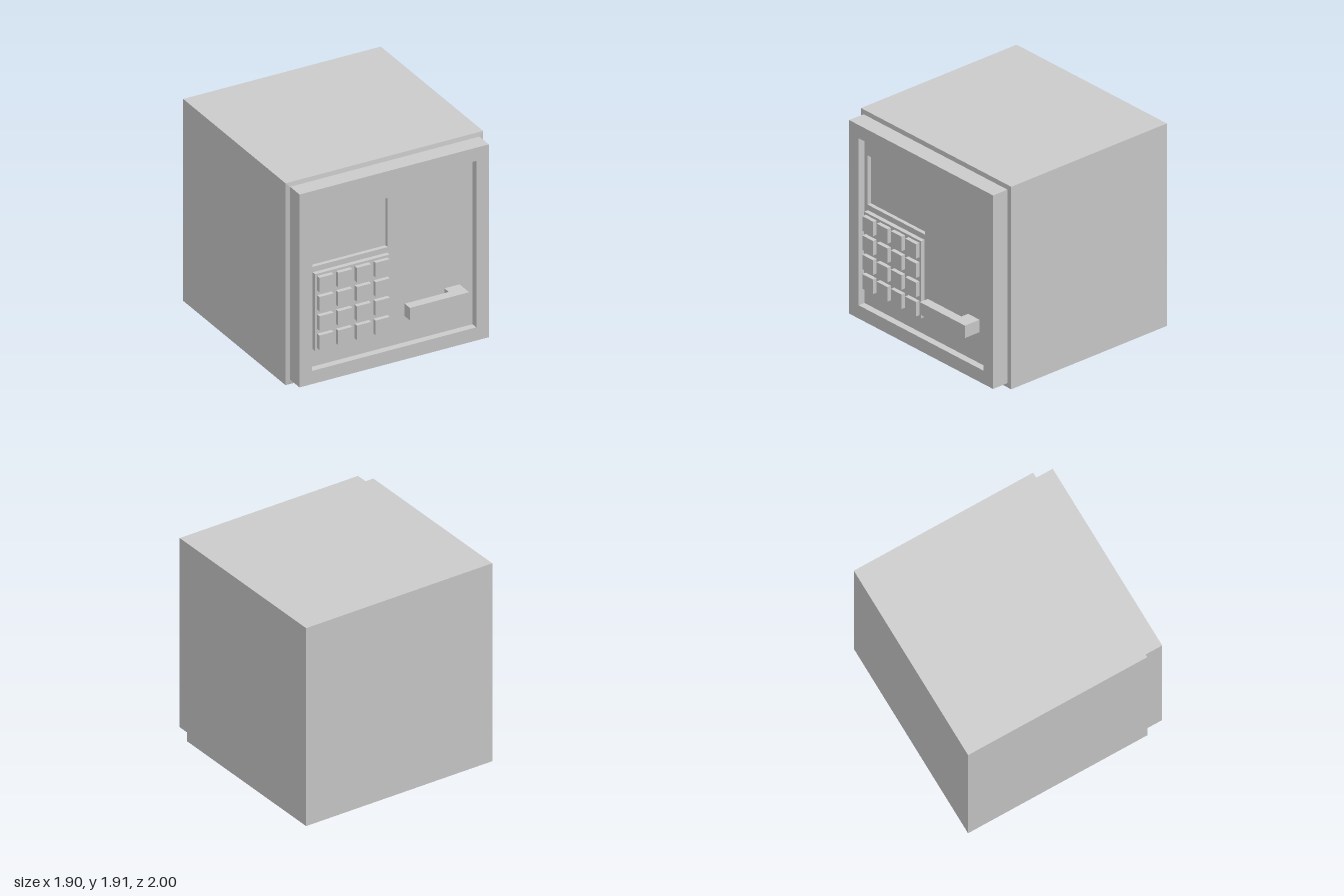
import * as THREE from 'three';

const material = new THREE.MeshStandardMaterial({ color: 0xcccccc, flatShading: true });

function add(parent, name, geometry) {
  const mesh = new THREE.Mesh(geometry, material);
  mesh.name = name;
  parent.add(mesh);
  return mesh;
}

// Box given by its minimum and maximum on each axis
function block(parent, name, x0, x1, y0, y1, z0, z1) {
  const mesh = add(parent, name, new THREE.BoxGeometry(x1 - x0, y1 - y0, z1 - z0));
  mesh.position.set((x0 + x1) / 2, (y0 + y1) / 2, (z0 + z1) / 2);
  return mesh;
}

function trace(path, x0, x1, y0, y1) {
  path.moveTo(x0, y0).lineTo(x1, y0).lineTo(x1, y1).lineTo(x0, y1).closePath();
  return path;
}

// Rectangular plate with a rectangular opening, outer and inner as [x0, x1, y0, y1]
function plate(parent, name, outer, inner, z0, z1) {
  const shape = trace(new THREE.Shape(), ...outer);
  shape.holes.push(trace(new THREE.Path(), ...inner));
  const geometry = new THREE.ExtrudeGeometry(shape, { depth: z1 - z0, bevelEnabled: false });
  add(parent, name, geometry).position.z = z0;
}

export function createModel() {
  const safe = new THREE.Group();
  safe.name = 'safe';

  // Cabinet, with a slightly sloped front rim around the door
  block(safe, 'cabinet', -0.95, 0.95, 0, 1.91, -1, 0.735);
  const rim = block(safe, 'cabinetRim', -0.95, 0.95, 0, 1.91, 0.735, 0.742);
  const p = rim.geometry.attributes.position;
  for (let i = 0; i < p.count; i++) {
    if (p.getZ(i) > 0) p.setXY(i, p.getX(i) * 0.958, p.getY(i) * 0.956);
  }
  rim.geometry.computeVertexNormals();

  // Door: raised frame, recessed panel with a display window
  const door = new THREE.Group();
  door.name = 'door';
  safe.add(door);
  const recess = [-0.79, 0.79, 0.17, 1.745];
  const display = [-0.75, -0.025, 1.113, 1.577];
  plate(door, 'doorFrame', [-0.91, 0.91, 0.045, 1.87], recess, 0.735, 0.902);
  plate(door, 'doorPanel', recess, display, 0.74, 0.837);
  block(door, 'displayScreen', ...display, 0.74, 0.8);

  // Keypad with a four by four grid of keys
  const keypad = new THREE.Group();
  keypad.name = 'keypad';
  door.add(keypad);
  block(keypad, 'keypadBase', -0.747, -0.03, 0.335, 1.062, 0.83, 0.878);
  for (let row = 0; row < 4; row++) {
    for (let col = 0; col < 4; col++) {
      const x = -0.727 + col * 0.18;
      const y = 0.358 + row * 0.182;
      block(keypad, 'key', x, x + 0.137, y, y + 0.137, 0.87, 0.917);
    }
  }

  // L-shaped lever handle, extruded upwards from its plan outline
  const lever = new THREE.Shape();
  lever.moveTo(0.095, -1).lineTo(0.665, -1).lineTo(0.665, -0.83);
  lever.lineTo(0.52, -0.83).lineTo(0.52, -0.912).lineTo(0.095, -0.912).closePath();
  const handle = add(door, 'handle',
    new THREE.ExtrudeGeometry(lever, { depth: 0.117, bevelEnabled: false }));
  handle.rotation.x = -Math.PI / 2;
  handle.position.y = 0.463;

  return safe;
}
